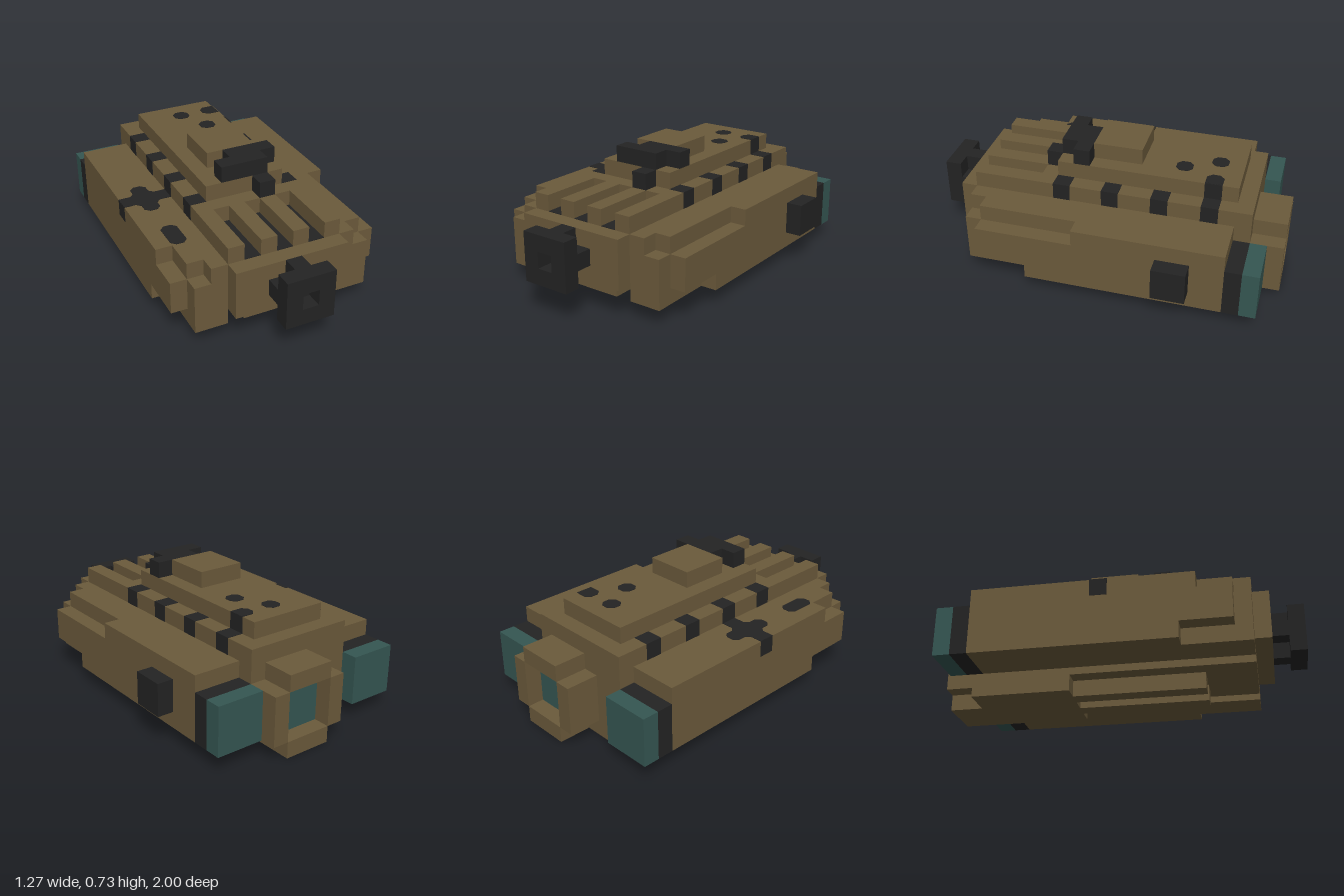
import * as THREE from 'three';

const U = 1 / 11; // one block

export function createModel() {
  const group = new THREE.Group();
  group.name = 'blockShip';
  const mat = (name, color) => {
    const m = new THREE.MeshStandardMaterial({ color });
    m.name = name;
    return m;
  };
  const brown = mat('hullBrown', 0x6b5a3b);
  const black = mat('trimBlack', 0x232323);
  const teal = mat('engineTeal', 0x355652);

  const add = (name, geometry, material) => {
    const mesh = new THREE.Mesh(geometry, material);
    mesh.name = name;
    group.add(mesh);
    return mesh;
  };
  // Box between block coordinates, optionally grown a little to sit proud
  const box = (name, material, x0, x1, y0, y1, z0, z1, grow = 0) => {
    const g = new THREE.BoxGeometry(
      (x1 - x0 + 2 * grow) * U, (y1 - y0 + 2 * grow) * U, (z1 - z0 + 2 * grow) * U);
    g.translate((x0 + x1) / 2 * U, (y0 + y1) / 2 * U, (z0 + z1) / 2 * U);
    return add(name, g, material);
  };
  // Thin painted plate on a top surface, from [x, z] corners
  const plate = (name, y, points) => {
    const shape = new THREE.Shape(points.map(([x, z]) => new THREE.Vector2(x * U, -z * U)));
    const g = new THREE.ExtrudeGeometry(shape, { depth: 0.03 * U, bevelEnabled: false });
    g.rotateX(-Math.PI / 2);
    g.translate(0, y * U, 0);
    return add(name, g, black);
  };
  // Rectangle with cut corners
  const c = 0.27;
  const chamfered = (x0, x1, z0, z1) => [
    [x0 + c, z0], [x1 - c, z0], [x1, z0 + c], [x1, z1 - c],
    [x1 - c, z1], [x0 + c, z1], [x0, z1 - c], [x0, z0 + c]];

  // Main hull
  box('hull', brown, -4, 3, 2, 5, -9, 9);
  box('lowerHull', brown, -3, 2, 1, 2, -9, 8);
  box('keel', brown, -3, 2, 0, 1, -9, -3);
  for (const x of [-2, 0]) box('keelBar', brown, x, x + 1, 0, 1, -3, 5);

  // Upper decks and hatch
  box('deck', brown, -4, 3, 5, 6, -9, 4);
  box('upperDeck', brown, -3, 2, 6, 7, -8, 3);
  box('hatch', brown, -2, 1, 7, 8, -2, 1);

  // Front grille: raised bars with dark floors between them
  for (const x of [-4, -2, 0, 2]) box('grilleBar', brown, x, x + 1, 5, 6, 4, 8);
  for (const x of [-3, -1, 1]) box('grilleFloor', black, x, x + 1, 5, 5.03, 4, 8);

  // Side pods, mirrored about the hull centre at x = -0.5
  for (const side of [1, -1]) {
    const pod = (name, material, a, b, y0, y1, z0, z1) => {
      const p = -0.5 + side * a, q = -0.5 + side * b;
      box(name, material, Math.min(p, q), Math.max(p, q), y0, y1, z0, z1);
    };
    const shoulder = side > 0 ? 1 : 5; // where the outer edge steps down
    pod('podInner', brown, 3.5, 4.5, 1, 5, -8, 8);
    pod('podMiddle', brown, 4.5, 5.5, 1, 5, -8, 7);
    pod('podNose', brown, 4.5, 5.5, 1, 4, 7, 8);
    pod('podOuter', brown, 5.5, 6.5, 1, 4, -8, 4);
    pod('podOuterFront', brown, 5.5, 6.5, 2, 4, 4, 7);
    pod('podShoulder', brown, 5.5, 6.5, 4, 5, -8, shoulder);
    pod('engineCollar', black, 3.5, 6.5, 1, 4, -9, -8);
    pod('engineGlow', teal, 3.5, 6.5, 1, 4, -10, -9);
  }

  // Rear nozzle
  box('nozzleTop', brown, -1, 2, 4, 5, -11, -9);
  box('nozzleBottom', brown, -1, 2, 0, 1, -11, -9);
  box('nozzleSide', brown, -2, -1, 1, 4, -11, -9);
  box('nozzleSide', brown, 2, 3, 1, 4, -11, -9);
  box('nozzleGlow', teal, -1, 2, 1, 4, -10, -9);

  // Front gun: cross-shaped mount and square ring
  box('gunMount', black, -2, 1, 3, 4, 9, 10);
  box('gunMount', black, -1, 0, 2, 5, 9, 10);
  box('gunRingTop', black, -2, 1, 4, 5, 10, 11);
  box('gunRingBottom', black, -2, 1, 2, 3, 10, 11);
  box('gunRingSide', black, -2, -1, 3, 4, 10, 11);
  box('gunRingSide', black, 0, 1, 3, 4, 10, 11);

  // Side box and roof fittings
  box('sideBox', black, 6, 7, 2, 4, -6, -4);
  box('roofBarRear', black, -1, 2, 7, 8, 1, 2);
  box('roofBarFront', black, -2, 1, 7, 8, 2, 3);
  box('roofStub', black, 0, 1, 6, 7, 3, 4);

  // Dark vents along the deck edges
  for (const z of [-7, -4, -1, 2]) {
    for (const x of [-4, 2]) box('deckVent', black, x, x + 1, 5, 6, z, z + 1, 0.02);
  }
  box('upperVent', black, 1.3, 2, 6, 7, -7, -6, 0.02);

  // Painted marks on the roof and left-hand pod
  plate('roofMark', 7, chamfered(-1, 0, -7, -6));
  plate('roofMark', 7, chamfered(0, 1, -5, -4));
  plate('roofMark', 7, chamfered(1, 2, -7, -6));
  plate('podMark', 5, chamfered(-6, -5, 3, 5));
  plate('podCross', 5, [
    [-7, -1], [-6 - c, -1], [-6, -1 - c], [-6, -2 + c], [-6 + c, -2], [-5 - c, -2],
    [-5, -2 + c], [-5, -1 - c], [-5 + c, -1], [-4, -1], [-4, 0], [-5 + c, 0], [-5, c],
    [-5, 1 - c], [-5 - c, 1], [-6 + c, 1], [-6, 1 - c], [-6, c], [-6 - c, 0], [-7, 0]]);
  box('podCrossEnd', black, -7, -6.5, 4, 5, -1, 0, 0.01);

  return group;
}
